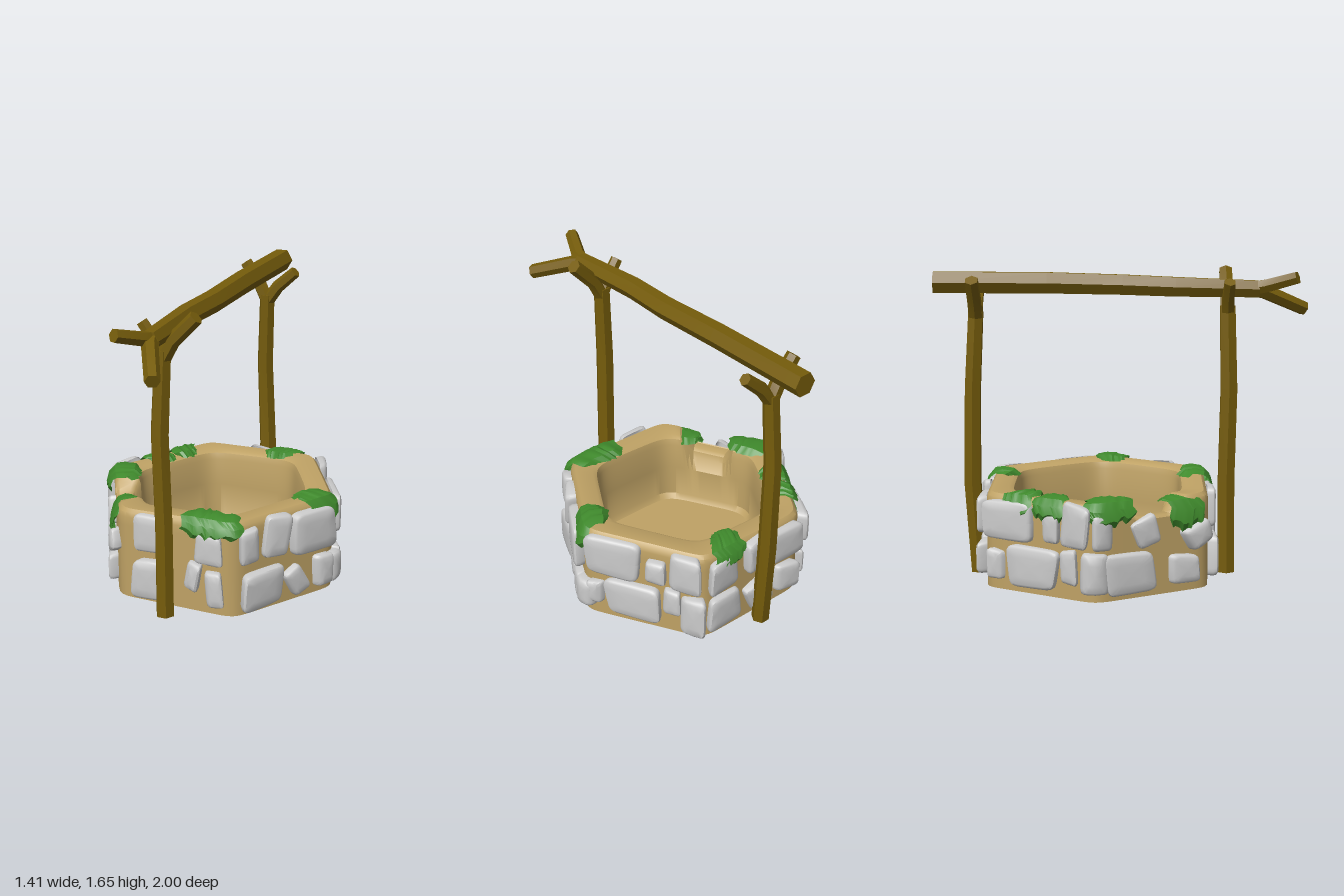
import * as THREE from 'three';
import { toCreasedNormals } from 'three/addons/utils/BufferGeometryUtils.js';

const CZ = -0.13; // centre of the well ring
const AP = 0.578; // outer apothem of the hexagonal wall
const RAD = Math.PI / 180;

let seed = 7;
const rnd = () => ((seed = (seed * 16807) % 2147483647) / 2147483647);
const jit = (a) => (rnd() - 0.5) * 2 * a;

const mat = (color) => new THREE.MeshStandardMaterial({ color, side: THREE.DoubleSide });
const CLAY = mat(0xbfa265), STONE = mat(0xcccccc), WOOD = mat(0x755c0b), MOSS = mat(0x3f8a2c);

function add(parent, name, geometry, material) {
  const mesh = new THREE.Mesh(geometry, material);
  mesh.name = name;
  parent.add(mesh);
}

function subgroup(parent, name) {
  const g = new THREE.Group();
  g.name = name;
  parent.add(g);
  return g;
}

// Grid surface: fn(row, col) gives each point
function surface(rows, cols, fn, crease = 0.6) {
  const pos = [], idx = [];
  for (let i = 0; i <= rows; i++)
    for (let j = 0; j <= cols; j++) pos.push(...fn(i, j));
  for (let i = 0; i < rows; i++)
    for (let j = 0; j < cols; j++) {
      const a = i * (cols + 1) + j, c = a + cols + 1;
      idx.push(a, a + 1, c, a + 1, c + 1, c);
    }
  const g = new THREE.BufferGeometry();
  g.setAttribute('position', new THREE.Float32BufferAttribute(pos, 3));
  g.setIndex(idx);
  return toCreasedNormals(g, crease);
}

// Polar radius of a unit-apothem hexagon; lower power gives rounder corners
function hex(a, power) {
  let s = 0;
  for (let k = 0; k < 6; k++) s += Math.max(0, Math.cos(a - (30 + 60 * k) * RAD)) ** power;
  return s ** (-1 / power);
}
function onRing(a, ap, y, power = 26) {
  const r = hex(a, power) * ap;
  return [Math.cos(a) * r, y, CZ + Math.sin(a) * r];
}

// Wall, rim and raised inner floor in one skin, with a broken notch in the rim
function wallGeometry() {
  const profile = [[AP, 0], [AP, 0.25], [AP, 0.42], [AP, 0.465], [0.572, 0.49], [0.555, 0.508], [0.465, 0.508],
    [0.445, 0.495], [0.435, 0.46], [0.432, 0.3], [0.43, 0.12], [0.41, 0.09], [0, 0.09]];
  return surface(profile.length - 1, 120, (i, j) => {
    const a = -j * 3 * RAD;
    let [ap, y] = profile[i];
    const d = Math.abs((((a / RAD - 149) % 360) + 540) % 360 - 180);
    const chip = THREE.MathUtils.clamp((19 - d) / 8, 0, 1);
    if (y > 0.4) y += 0.018 * Math.cos(a) - 0.085 * chip * (i > 3 ? 1 : 0.6);
    if (i > 5 && i < 9) ap += 0.04 * chip;
    return onRing(a, ap, y, i > 6 ? 13 : 26);
  });
}

// Irregular pillow-edged stone wrapped on the wall; u runs to the right along the face at angle deg
function stoneGeometry(deg, u, y, w, h, tilt = 0) {
  const q = Array.from({ length: 4 }, () => [1 + jit(0.17), 1 + jit(0.12)]);
  const thick = 0.034 + rnd() * 0.018, slope = jit(0.25);
  const rings = [[1, -0.003], [1, 0.55], [0.96, 0.85], [0.87, 1], [0.5, 1.06], [0, 1.08]];
  const pw = (v) => Math.sign(v) * Math.abs(v) ** 0.3;
  return surface(rings.length - 1, 28, (i, j) => {
    const t = (j / 28) * Math.PI * 2;
    const sx = pw(Math.cos(t)), sy = pw(Math.sin(t));
    const mix = (k) => ((1 - sx) * ((1 - sy) * q[0][k] + (1 + sy) * q[3][k]) +
      (1 + sx) * ((1 - sy) * q[1][k] + (1 + sy) * q[2][k])) / 4;
    const [s, z] = rings[i];
    // bevel inset is a fixed width, so shrink both axes by the same length
    const inset = s > 0.8 ? (1 - s) * 0.13 : 0;
    const f = s > 0.8 ? 1 : s;
    const px = sx * mix(0) * (w / 2 - inset) * f, py = sy * mix(1) * (h / 2 - inset) * f;
    const c = Math.cos(tilt), n = Math.sin(tilt);
    const a = deg * RAD - Math.atan((u + px * c - py * n) / AP);
    return onRing(a, AP + z * thick * (1 + slope * sx * f), y + px * n + py * c);
  }, 0.75);
}

// Leafy mat draped over the rim, with ridges and a ragged lower edge
function mossGeometry(deg, half, drop, sink = 0) {
  const cols = 14, rows = 6;
  const rag = Array.from({ length: cols + 1 }, () => rnd());
  const top = 0.512 - sink + 0.018 * Math.cos(deg * RAD);
  return surface(rows, cols, (i, j) => {
    const s = 1 - (2 * j) / cols;
    const edge = Math.sqrt(Math.max(0, 1 - s * s * 0.92));
    const lift = 0.024 * edge + 0.01 * (rag[j] - 0.5);
    const len = drop * (0.4 + 0.6 * edge) * (0.75 + 0.4 * rag[j]);
    const reach = 0.03 + 0.08 * edge * (0.8 + 0.3 * rag[j]);
    const [ap, y] = [[AP + 0.018, top - len], [AP + 0.018 + lift, top - len * 0.7],
      [AP + 0.005 + lift, top - len * 0.25], [AP - 0.015 + lift * 0.5, top + lift * 0.5],
      [AP - 0.05, top + lift], [AP - 0.03 - reach * 0.75, top + lift * 0.8],
      [AP - 0.04 - reach, top - 0.01]][i];
    return onRing((deg + s * half + 1.2 * Math.sin(i * 2 + deg)) * RAD, ap, y);
  }, 0.5);
}

// Faceted branch through [x, y, z, radius] points with flat ends
function limb(parent, name, pts, sides = 6) {
  const P = pts.map((p) => new THREE.Vector3(p[0], p[1], p[2]));
  const n = P.length;
  const along = P[n - 1].clone().sub(P[0]).normalize();
  const ref = Math.abs(along.z) > 0.7 ? new THREE.Vector3(0, 1, 0) : new THREE.Vector3(0, 0, 1);
  const geo = surface(n + 1, sides, (i, j) => {
    const k = THREE.MathUtils.clamp(i - 1, 0, n - 1);
    const r = i === 0 || i === n + 1 ? 0 : pts[k][3];
    const t = P[Math.min(k + 1, n - 1)].clone().sub(P[Math.max(k - 1, 0)]).normalize();
    const e1 = ref.clone().addScaledVector(t, -ref.dot(t)).normalize();
    const e2 = t.clone().cross(e1);
    const a = ((j + 0.5) / sides) * Math.PI * 2;
    return P[k].clone().addScaledVector(e1, r * Math.cos(a)).addScaledVector(e2, r * Math.sin(a)).toArray();
  }, 0.8);
  add(parent, name, geo, WOOD);
}

export function createModel() {
  seed = 7;
  const model = new THREE.Group();
  model.name = 'well';
  add(model, 'wall', wallGeometry(), CLAY);

  // Stones by face angle: [u, y, width, height, tilt]
  const stones = subgroup(model, 'stones');
  const faces = {
    90: [[-0.13, 0.4, 0.17, 0.21], [-0.13, 0.145, 0.18, 0.22], [0.11, 0.2, 0.08, 0.15, -0.2],
      [0.23, 0.15, 0.1, 0.21, 0.1], [0.19, 0.36, 0.15, 0.17]],
    30: [[-0.24, 0.39, 0.11, 0.19], [-0.07, 0.41, 0.14, 0.22, -0.1], [0.16, 0.38, 0.27, 0.25],
      [-0.15, 0.135, 0.26, 0.21], [0.06, 0.12, 0.11, 0.17, 0.5], [0.24, 0.13, 0.1, 0.18]],
    '-30': [[-0.26, 0.16, 0.08, 0.14], [-0.05, 0.145, 0.31, 0.22], [0.16, 0.21, 0.09, 0.15],
      [0.27, 0.14, 0.13, 0.22], [-0.16, 0.4, 0.28, 0.23], [0.07, 0.38, 0.1, 0.13], [0.23, 0.41, 0.16, 0.23]],
    '-90': [[-0.22, 0.38, 0.19, 0.2], [0, 0.41, 0.14, 0.19, 0.1], [0.2, 0.37, 0.22, 0.2],
      [-0.2, 0.14, 0.22, 0.2], [0.02, 0.13, 0.13, 0.19, 0.4], [0.22, 0.14, 0.12, 0.17]],
    210: [[-0.17, 0.37, 0.26, 0.21], [0.08, 0.36, 0.1, 0.15], [0.22, 0.39, 0.14, 0.22, -0.1],
      [-0.25, 0.13, 0.09, 0.16], [-0.03, 0.14, 0.28, 0.21], [0.18, 0.17, 0.1, 0.17]],
    150: [[-0.29, 0.36, 0.12, 0.17], [-0.05, 0.34, 0.14, 0.15, 0.35], [0.25, 0.29, 0.14, 0.12, 0.4],
      [-0.14, 0.135, 0.27, 0.21], [0.17, 0.12, 0.14, 0.15]],
    0: [[0, 0.13, 0.12, 0.16]],
    180: [[0, 0.14, 0.12, 0.21]],
  };
  for (const [deg, list] of Object.entries(faces))
    for (const s of list) add(stones, 'stone', stoneGeometry(Number(deg), ...s), STONE);

  // Moss patches: [angle, half width in degrees, hanging length, drop into the notch]
  const moss = subgroup(model, 'moss');
  for (const m of [[222, 8, 0.11], [204, 9, 0.12], [173, 12, 0.11], [132, 9, 0.18, 0.03],
    [71, 15, 0.1], [7, 9, 0.14], [-74, 9, 0.1]])
    add(moss, 'mossPatch', mossGeometry(...m), MOSS);

  // Forked posts
  const front = subgroup(model, 'frontPost');
  limb(front, 'trunk', [[-0.005, 0, 0.56, 0.05], [-0.01, 0.5, 0.555, 0.05], [-0.022, 1, 0.565, 0.05], [-0.005, 1.44, 0.555, 0.046]]);
  limb(front, 'leftFork', [[-0.01, 1.38, 0.555, 0.042], [0.05, 1.49, 0.555, 0.04], [0.175, 1.62, 0.552, 0.038]]);
  limb(front, 'rightFork', [[0, 1.38, 0.555, 0.038], [-0.05, 1.48, 0.555, 0.036], [-0.115, 1.57, 0.56, 0.032]]);
  const back = subgroup(model, 'backPost');
  limb(back, 'trunk', [[-0.005, 0, -0.775, 0.048], [0, 0.5, -0.808, 0.05], [-0.02, 1, -0.798, 0.047], [-0.005, 1.41, -0.778, 0.044]]);
  limb(back, 'leftFork', [[-0.01, 1.36, -0.778, 0.038], [0.06, 1.46, -0.778, 0.036], [0.165, 1.555, -0.775, 0.032]]);
  limb(back, 'rightFork', [[0, 1.36, -0.778, 0.04], [-0.05, 1.46, -0.78, 0.04], [-0.14, 1.58, -0.785, 0.037]]);

  // Crossbeam with a forked front end
  const beam = subgroup(model, 'crossbeam');
  limb(beam, 'beam', [[-0.008, 1.563, -1, 0.064], [0, 1.56, -0.4, 0.063], [0.008, 1.55, 0, 0.06],
    [-0.012, 1.54, 0.28, 0.058], [0.005, 1.528, 0.72, 0.05]]);
  limb(beam, 'lowerTwig', [[0, 1.53, 0.68, 0.042], [0.03, 1.51, 0.76, 0.042], [0.15, 1.415, 0.975, 0.039]]);
  limb(beam, 'upperTwig', [[0.005, 1.53, 0.68, 0.04], [-0.01, 1.545, 0.76, 0.039], [-0.08, 1.592, 0.915, 0.035]]);
  return model;
}
